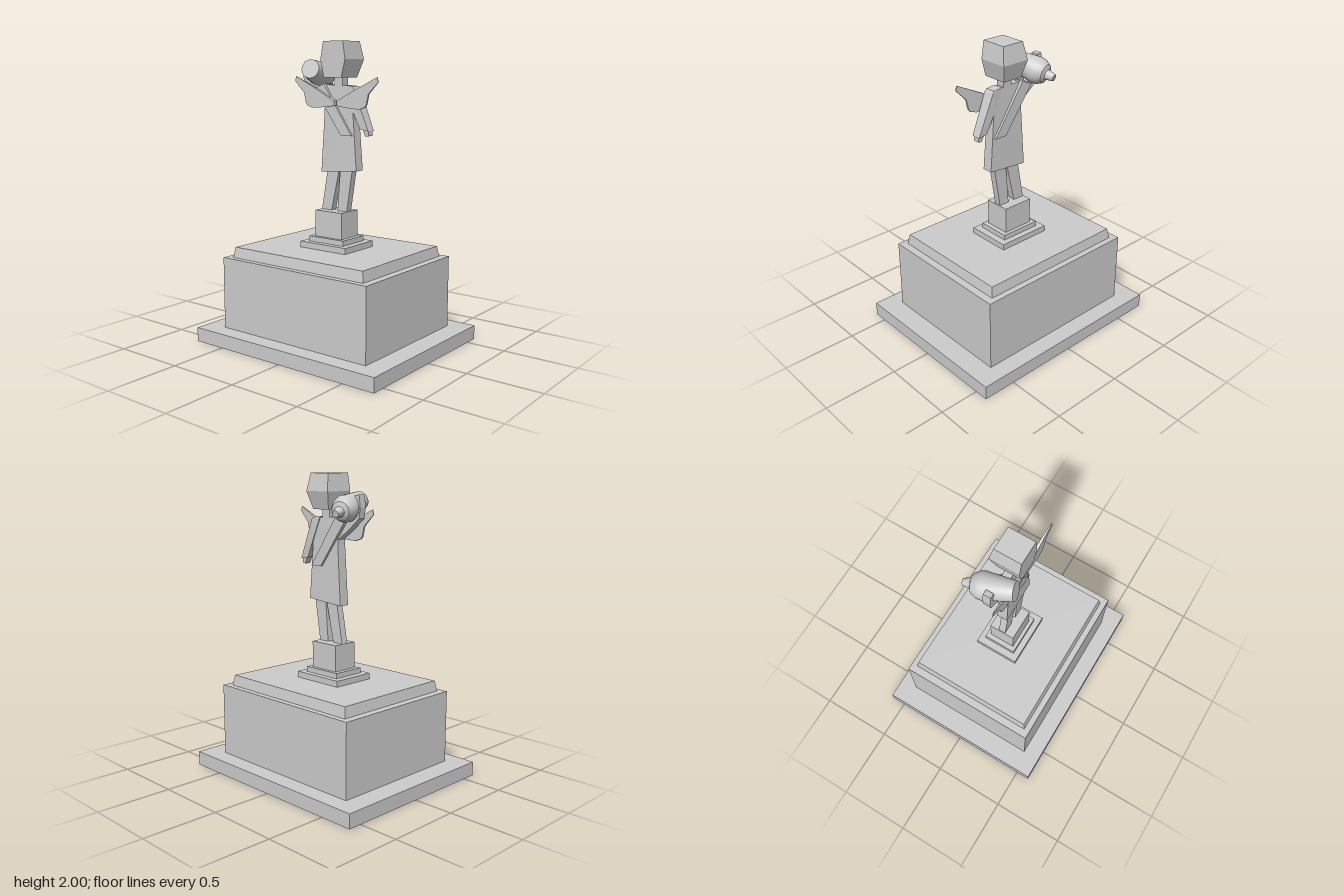
import * as THREE from 'three';
import { toCreasedNormals } from 'three/addons/utils/BufferGeometryUtils.js';

const flat = new THREE.MeshStandardMaterial({ color: 0xcccccc, flatShading: true });
const smooth = new THREE.MeshStandardMaterial({ color: 0xcccccc });

function add(parent, name, geometry, material = flat) {
  const mesh = new THREE.Mesh(geometry, material);
  mesh.name = name;
  parent.add(mesh);
  return mesh;
}

// Four-sided solid through levels [y at z0, y at z1, x0, x1, z0, z1], listed upward
function loft(levels) {
  const pos = [], idx = [];
  for (const [ya, yb, x0, x1, z0, z1] of levels) {
    pos.push(x0, yb, z1, x1, yb, z1, x1, ya, z0, x0, ya, z0);
  }
  for (let l = 0; l < levels.length - 1; l++) {
    for (let i = 0; i < 4; i++) {
      const a = l * 4 + i, b = l * 4 + (i + 1) % 4;
      idx.push(a, b, b + 4, a, b + 4, a + 4);
    }
  }
  const t = (levels.length - 1) * 4;
  idx.push(0, 2, 1, 0, 3, 2, t, t + 1, t + 2, t, t + 2, t + 3);
  const g = new THREE.BufferGeometry();
  g.setAttribute('position', new THREE.Float32BufferAttribute(pos, 3));
  g.setIndex(idx);
  const out = g.toNonIndexed();
  out.computeVertexNormals();
  return out;
}

// Outline in (z, y) extruded from x0 to x1
function slab(points, x0, x1) {
  const shape = new THREE.Shape(points.map(([z, y]) => new THREE.Vector2(z, y)));
  const g = new THREE.ExtrudeGeometry(shape, { depth: x1 - x0, bevelEnabled: false });
  return g.rotateY(-Math.PI / 2).translate(x1, 0, 0);
}

export function createModel() {
  const model = new THREE.Group();
  model.name = 'monument';

  // Pedestal tiers: bottom y, top y, half width, half depth, inset of the top
  const pedestal = new THREE.Group();
  pedestal.name = 'pedestal';
  model.add(pedestal);
  const tiers = [
    ['baseSlab', 0, 0.095, 0.593, 0.73, 0],
    ['mainBlock', 0.095, 0.58, 0.475, 0.586, 0],
    ['taperedCap', 0.58, 0.65, 0.435, 0.535, 0.012],
    ['lowerStep', 0.65, 0.69, 0.152, 0.187, 0],
    ['upperStep', 0.69, 0.725, 0.112, 0.14, 0],
    ['statueBlock', 0.725, 0.9, 0.088, 0.108, 0],
  ];
  for (const [name, y0, y1, x, z, inset] of tiers) {
    const u = x - inset, w = z - inset;
    add(pedestal, name, loft([[y0, y0, -x, x, -z, z], [y1, y1, -u, u, -w, w]]));
  }

  // Winged figure, facing +x
  const figure = new THREE.Group();
  figure.name = 'wingedFigure';
  model.add(figure);

  add(figure, 'legOne', loft([
    [0.9, 0.9, -0.024, 0.024, 0.027, 0.102], [1.18, 1.18, -0.024, 0.024, 0.05, 0.147]]));
  add(figure, 'legTwo', loft([
    [0.9, 0.9, -0.024, 0.024, -0.103, -0.022], [1.18, 1.18, -0.024, 0.024, -0.052, 0.042]]));

  add(figure, 'dress', loft([
    [1.152, 1.175, -0.036, 0.036, -0.098, 0.187],
    [1.55, 1.55, -0.033, 0.033, -0.072, 0.157],
    [1.65, 1.65, -0.031, 0.031, -0.072, 0.155],
    [1.725, 1.715, -0.028, 0.028, -0.075, 0.155]]));

  add(figure, 'neck', loft([
    [1.7, 1.7, -0.03, 0.03, 0.007, 0.072], [1.79, 1.79, -0.03, 0.03, 0.007, 0.072]]));
  add(figure, 'head', loft([
    [1.77, 1.77, -0.095, 0.075, -0.03, 0.11],
    [1.885, 1.885, -0.095, 0.108, -0.057, 0.14],
    [2, 2, -0.095, 0.085, -0.035, 0.122]]));

  // Lowered arm with a small hand
  add(figure, 'loweredArm', loft([
    [1.445, 1.435, -0.031, 0.031, 0.212, 0.276],
    [1.58, 1.7, -0.038, 0.038, 0.148, 0.166],
    [1.722, 1.715, -0.034, 0.034, 0.09, 0.155]]));
  add(figure, 'loweredHand', loft([
    [1.4, 1.405, -0.02, 0.02, 0.246, 0.274],
    [1.45, 1.44, -0.023, 0.023, 0.225, 0.27]]));

  // Raised arm holding the jar from below and outside
  add(figure, 'raisedArm', slab([
    [-0.05, 1.725], [-0.14, 1.7], [-0.21, 1.77], [-0.215, 1.865], [-0.25, 1.87],
    [-0.26, 1.79], [-0.25, 1.72], [-0.16, 1.645], [-0.07, 1.58]], -0.025, 0.025));

  add(figure, 'sash', slab([
    [-0.07, 1.73], [-0.145, 1.695], [0.07, 1.4], [0.157, 1.4]], -0.048, 0.05));

  // Wings, mirrored about the figure's middle and thinning to the tips
  const wing = [
    [0.05, 1.62], [0.165, 1.68], [0.365, 1.775], [0.375, 1.745], [0.30, 1.67],
    [0.285, 1.605], [0.27, 1.585], [0.225, 1.572], [0.12, 1.58], [0.05, 1.59]];
  for (const side of [1, -1]) {
    const g = slab(wing.map(([z, y]) => [0.04 + side * (z - 0.04), y]), -0.066, -0.03);
    const p = g.attributes.position;
    for (let i = 0; i < p.count; i++) {
      const k = 1 - 0.85 * Math.abs(p.getZ(i) - 0.04) / 0.335;
      p.setX(i, -0.066 + (p.getX(i) + 0.066) * k);
    }
    g.computeVertexNormals();
    add(figure, side > 0 ? 'leftWing' : 'rightWing', g);
  }

  // Jar on the shoulder, closed at both ends
  const profile = [
    [0, 0], [0.061, 0], [0.087, 0.195], [0.081, 0.225], [0.062, 0.258],
    [0.034, 0.27], [0.022, 0.322], [0, 0.322]].map(([r, y]) => new THREE.Vector2(r, y));
  const jar = add(figure, 'jar', toCreasedNormals(new THREE.LatheGeometry(profile, 28), 0.5), smooth);
  const start = new THREE.Vector3(-0.115, 1.825, -0.125);
  const end = new THREE.Vector3(0.185, 1.755, -0.205);
  jar.position.copy(start);
  jar.quaternion.setFromUnitVectors(new THREE.Vector3(0, 1, 0), end.sub(start).normalize());

  return model;
}
